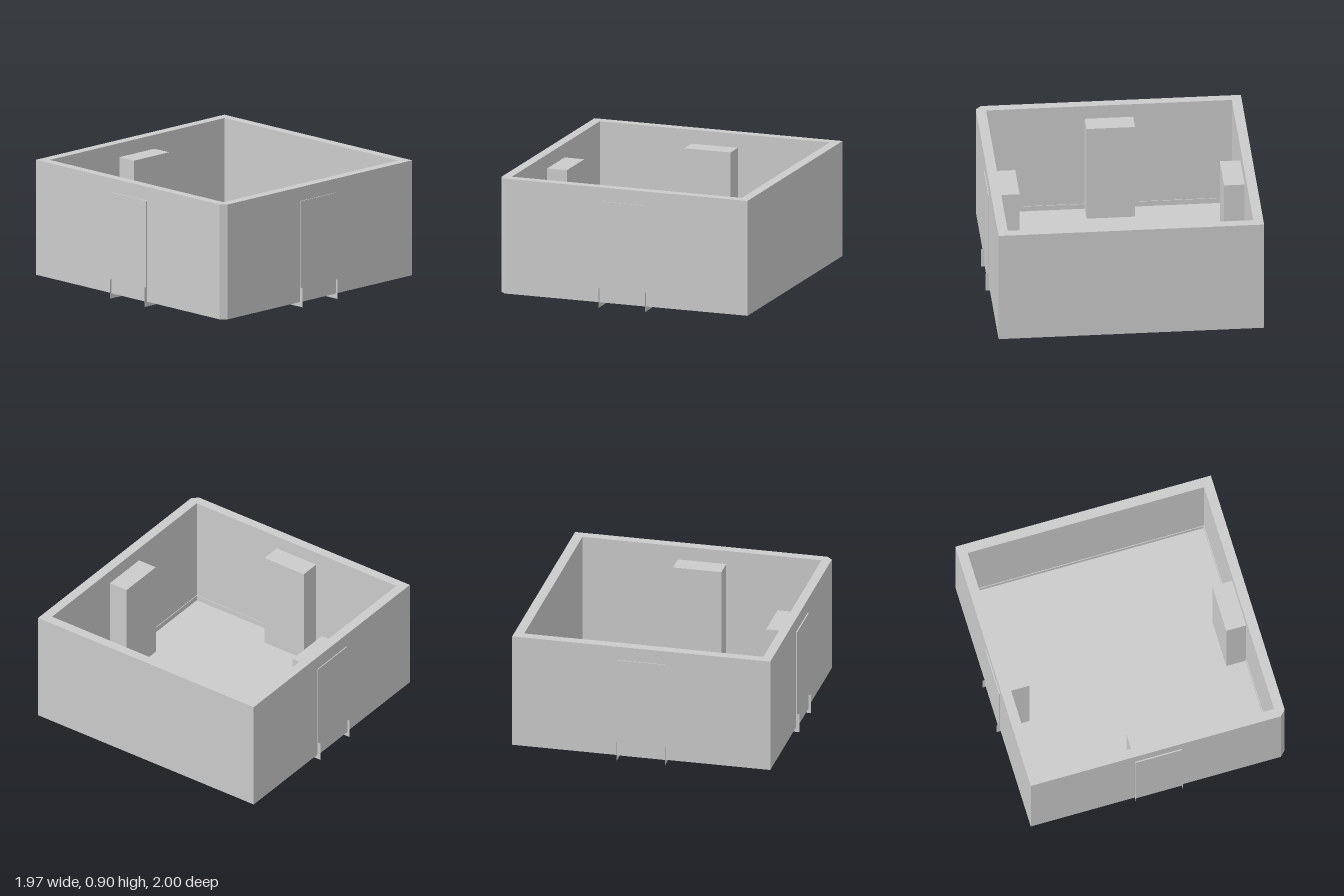
import * as THREE from 'three';

const BOTTOM = 0.036, TOP = 0.901;
const material = new THREE.MeshStandardMaterial({ color: 0xcccccc, flatShading: true });
const thin = new THREE.MeshStandardMaterial({ color: 0xcccccc, flatShading: true, side: THREE.DoubleSide });

function add(parent, name, geometry, mat = material) {
  const mesh = new THREE.Mesh(geometry, mat);
  mesh.name = name;
  parent.add(mesh);
  return mesh;
}

function box(parent, name, [x0, x1], [y0, y1], [z0, z1]) {
  const mesh = add(parent, name, new THREE.BoxGeometry(x1 - x0, y1 - y0, z1 - z0));
  mesh.position.set((x0 + x1) / 2, (y0 + y1) / 2, (z0 + z1) / 2);
}

// Plan points run counter-clockwise once z is flipped into shape space
const outline = (points) => points.map(([x, z]) => new THREE.Vector2(x, -z));
const rectangle = (x0, x1, z0, z1) => outline([[x0, z0], [x0, z1], [x1, z1], [x1, z0]]);

// Upright ring: plan outline with a hole, raised from y0 to y1
function ring(parent, name, outer, inner, y0, y1) {
  const shape = new THREE.Shape(outer);
  shape.holes.push(new THREE.Path(inner));
  const geometry = new THREE.ExtrudeGeometry(shape, { depth: y1 - y0, bevelEnabled: false });
  geometry.rotateX(-Math.PI / 2).translate(0, y0, 0);
  add(parent, name, geometry);
}

// Pillar in the wall with two thin L-shaped brackets; local +z points out of the wall
function wallUnit(name, halfWidth, proud) {
  const unit = new THREE.Group();
  unit.name = name;
  box(unit, 'pillar', [-halfWidth, halfWidth], [BOTTOM + 0.001, 0.796], [-0.224, proud]);
  const profile = [[0.026, 0], [0.026, 0.145], [0, 0.145], [0, BOTTOM], [-0.118, BOTTOM], [-0.118, 0]];
  for (const side of [-1, 1]) {
    const shape = new THREE.Shape(profile.map(([z, y]) => new THREE.Vector2(z, y)));
    const bracket = add(unit, 'bracket', new THREE.ShapeGeometry(shape), thin);
    bracket.rotation.y = -Math.PI / 2;
    bracket.position.x = side * halfWidth;
  }
  return unit;
}

export function createModel() {
  const model = new THREE.Group();
  model.name = 'openBox';

  // Walls, with one chamfered front corner
  const plan = outline([
    [-0.957, -0.974], [-0.957, 0.932], [-0.915, 0.974], [0.984, 0.974], [0.984, -0.974],
  ]);
  ring(model, 'walls', plan, rectangle(-0.887, 0.911, -0.901, 0.901), BOTTOM, TOP);

  // Floor and low skirting
  box(model, 'floor', [-0.89, 0.914], [BOTTOM, 0.045], [-0.904, 0.904]);
  ring(model, 'skirting', rectangle(-0.888, 0.912, -0.902, 0.902),
    rectangle(-0.882, 0.906, -0.896, 0.896), 0.045, 0.085);

  // Pillars in the front, back and right walls
  const front = wallUnit('frontUnit', 0.181, 0.006);
  front.position.set(0.011, 0, 0.974);
  const back = wallUnit('backUnit', 0.181, 0.007);
  back.position.set(0.011, 0, -0.974);
  back.rotation.y = Math.PI;
  const right = wallUnit('rightUnit', 0.178, 0.009);
  right.position.set(-0.957, 0, 0);
  right.rotation.y = -Math.PI / 2;
  model.add(front, back, right);
  return model;
}
